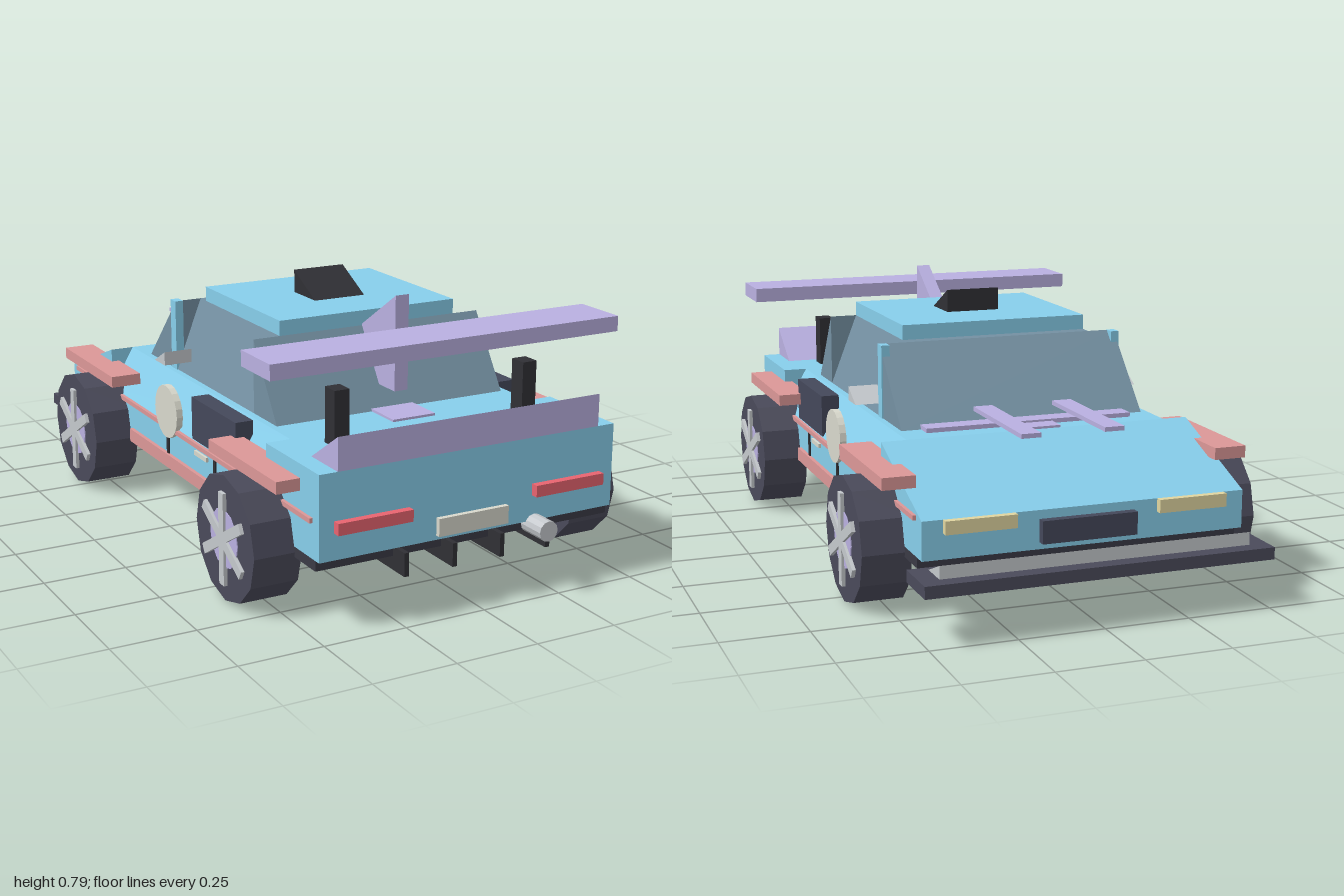
import * as THREE from 'three';

const mat = (color) => new THREE.MeshStandardMaterial({ color, flatShading: true });

export function createModel() {
  const car = new THREE.Group();
  car.name = 'raceCar';
  const M = {
    body: mat(0x87ceeb), dark: mat(0x4a4a5a), floor: mat(0x3a3a45), black: mat(0x303035),
    pink: mat(0xdb9797), purple: mat(0xb9b0e0), glass: mat(0x7490a2), grey: mat(0xc4c8cc),
    cream: mat(0xd8d8cc), lamp: mat(0xe0d5a0), red: mat(0xe86470), grille: mat(0x44485a),
  };

  function add(name, geo, m, parent = car) {
    const mesh = new THREE.Mesh(geo, m);
    mesh.name = name;
    parent.add(mesh);
    return mesh;
  }
  // Box given by its limits on each axis
  function box(name, m, x0, x1, y0, y1, z0, z1) {
    const g = new THREE.BoxGeometry(Math.abs(x1 - x0), y1 - y0, z1 - z0);
    g.translate((x0 + x1) / 2, (y0 + y1) / 2, (z0 + z1) / 2);
    return add(name, g, m);
  }
  const polygon = (pts) => new THREE.Shape(pts.map(([a, b]) => new THREE.Vector2(a, b)));
  // Side profile in (z, y), extruded across x
  function profile(name, m, x0, x1, pts) {
    const w = Math.abs(x1 - x0);
    const g = new THREE.ExtrudeGeometry(polygon(pts), { depth: w, bevelEnabled: false });
    g.rotateY(-Math.PI / 2);
    g.translate((x0 + x1) / 2 + w / 2, 0, 0);
    return add(name, g, m);
  }
  // Cross-section in (x, y), extruded along z
  function section(name, m, z0, z1, pts) {
    const g = new THREE.ExtrudeGeometry(polygon(pts), { depth: z1 - z0, bevelEnabled: false });
    g.translate(0, 0, z0);
    return add(name, g, m);
  }

  // Body: tail block, middle with sloping shoulders, nose with sloping hood
  box('floor', M.floor, -0.475, 0.475, 0.17, 0.2, -0.83, 0.905);
  box('tail', M.body, -0.475, 0.475, 0.2, 0.445, 0.62, 0.925);
  section('middleBody', M.body, -0.51, 0.62, [
    [-0.475, 0.2], [0.475, 0.2], [0.475, 0.315], [0.4, 0.445], [-0.4, 0.445], [-0.475, 0.315],
  ]);
  profile('nose', M.body, -0.475, 0.475, [[-0.87, 0.2], [-0.51, 0.2], [-0.51, 0.445], [-0.87, 0.31]]);

  // Cabin
  section('cabin', M.glass, -0.19, 0.355, [[-0.38, 0.445], [0.38, 0.445], [0.295, 0.665], [-0.295, 0.665]]);
  profile('windscreen', M.glass, -0.38, 0.38, [[-0.4, 0.445], [-0.19, 0.445], [-0.19, 0.665]]);
  profile('rearWindow', M.glass, -0.38, 0.38, [[0.355, 0.445], [0.5, 0.445], [0.355, 0.665]]);
  box('roof', M.body, -0.295, 0.295, 0.665, 0.71, -0.15, 0.355);
  profile('roofScoop', M.black, -0.085, 0.085, [[0.045, 0.71], [0.18, 0.71], [0.045, 0.78]]);

  // Wing, tail spoiler and centre fin
  box('rearWing', M.purple, -0.56, 0.56, 0.68, 0.725, 0.645, 0.815);
  profile('tailSpoiler', M.purple, -0.42, 0.42, [[0.78, 0.445], [0.925, 0.445], [0.925, 0.54]]);
  profile('centreFin', M.purple, -0.022, 0.022, [[0.355, 0.51], [0.545, 0.51], [0.545, 0.793], [0.355, 0.67]]);
  box('engineVent', M.purple, -0.07, 0.07, 0.44, 0.452, 0.48, 0.62);
  box('hoodVent', M.purple, -0.07, 0.07, 0.44, 0.452, -0.51, -0.38);
  box('hoodCrossbar', M.purple, -0.32, 0.32, 0.445, 0.458, -0.45, -0.39);

  // Nose details
  box('splitter', M.dark, -0.51, 0.51, 0.14, 0.175, -1, -0.845);
  profile('splitterLip', M.grey, -0.455, 0.455, [[-0.955, 0.175], [-0.865, 0.175], [-0.955, 0.212]]);
  box('grille', M.grille, -0.14, 0.14, 0.22, 0.285, -0.895, -0.86);

  // Tail details
  box('rearPlate', M.cream, -0.113, 0.113, 0.213, 0.265, 0.92, 0.94);
  for (const x of [-0.23, -0.077, 0.077, 0.23]) {
    box('diffuserFin', M.black, x - 0.007, x + 0.007, 0.13, 0.198, 0.815, 0.965);
  }
  const pipe = new THREE.CylinderGeometry(0.03, 0.03, 0.12, 12);
  pipe.rotateX(Math.PI / 2).translate(0.21, 0.19, 0.937);
  add('exhaust', pipe, M.grey);

  // Wheel with hub disc and three crossing spoke bars
  function wheel(s, z) {
    const w = new THREE.Group();
    w.name = 'wheel';
    w.position.set(s * 0.525, 0.184, z);
    const disc = (r, t, n) => new THREE.CylinderGeometry(r, r, t, n).rotateZ(Math.PI / 2);
    add('tyre', disc(0.184, 0.144, 12), M.dark, w);
    add('hub', disc(0.086, 0.15, 12), M.purple, w);
    for (let i = 0; i < 3; i++) {
      const bar = add('spoke', new THREE.BoxGeometry(0.02, 0.27, 0.03), M.grey, w);
      bar.position.x = s * 0.073;
      bar.rotation.x = (i * Math.PI) / 3;
    }
    car.add(w);
  }

  // Mirrored parts
  for (const s of [-1, 1]) {
    wheel(s, 0.605);
    wheel(s, -0.54);
    box('rearFender', M.pink, s * 0.45, s * 0.547, 0.37, 0.405, 0.4, 0.82);
    box('frontFender', M.pink, s * 0.45, s * 0.547, 0.37, 0.405, -0.75, -0.33);
    box('sideRail', M.pink, s * 0.465, s * 0.485, 0.302, 0.316, -0.825, 0.89);
    box('sideSkirt', M.pink, s * 0.44, s * 0.487, 0.18, 0.222, -0.34, 0.41);
    for (const z of [-0.05, 0.29]) {
      box('skirtStrut', M.black, s * 0.465, s * 0.48, 0.22, 0.303, z - 0.007, z + 0.007);
    }
    box('doorHandle', M.cream, s * 0.465, s * 0.483, 0.277, 0.291, 0.155, 0.24);
    box('sideIntake', M.grille, s * 0.42, s * 0.476, 0.32, 0.45, 0.13, 0.43);
    const plate = new THREE.CylinderGeometry(0.083, 0.083, 0.02, 20);
    plate.rotateZ(Math.PI / 2).translate(s * 0.477, 0.36, -0.04);
    add('doorRoundel', plate, M.cream);
    profile('mirror', M.grey, s * 0.365, s * 0.456, [[-0.19, 0.485], [-0.112, 0.485], [-0.112, 0.527]]);
    box('frontPillar', M.body, s * 0.358, s * 0.384, 0.44, 0.665, -0.222, -0.185);
    box('wingStrut', M.black, s * 0.284, s * 0.33, 0.44, 0.605, 0.69, 0.745);
    box('hoodBar', M.purple, s * 0.095, s * 0.154, 0.485, 0.498, -0.768, -0.385);
    box('headlight', M.lamp, s * 0.21, s * 0.415, 0.272, 0.31, -0.89, -0.86);
    box('tailLight', M.red, s * 0.2, s * 0.43, 0.276, 0.31, 0.915, 0.948);
  }
  return car;
}
